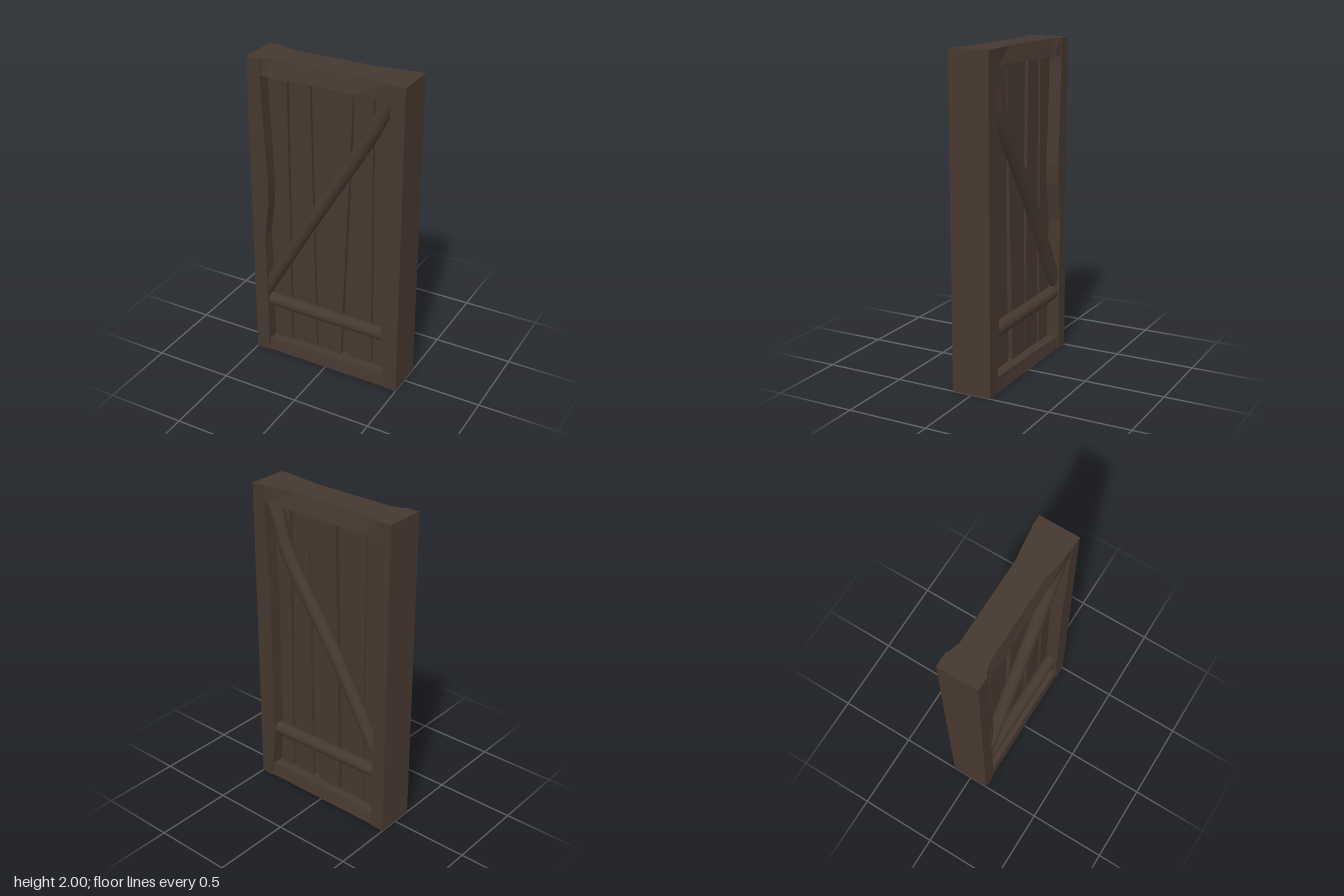
import * as THREE from 'three';

const wood = new THREE.MeshStandardMaterial({ color: 0x46382f });
wood.name = 'darkWood';

function add(parent, geometry, name) {
  const mesh = new THREE.Mesh(geometry, wood);
  mesh.name = name;
  parent.add(mesh);
  return mesh;
}

// Outline in x/y pushed out along z, from z0 to z1
function slab(points, z0, z1) {
  const shape = new THREE.Shape(points.map(([x, y]) => new THREE.Vector2(x, y)));
  const geometry = new THREE.ExtrudeGeometry(shape, { depth: z1 - z0, bevelEnabled: false });
  return geometry.translate(0, 0, z0);
}

// Horizontal beam given by stations [x, yBottom, yTop, half depth at bottom, half depth at top]
function beam(stations) {
  const box = new THREE.BoxGeometry(1, 1, 1, stations.length - 1, 1, 1);
  const p = box.attributes.position;
  for (let i = 0; i < p.count; i++) {
    const s = stations[Math.round((p.getX(i) + 0.5) * (stations.length - 1))];
    const top = p.getY(i) > 0;
    p.setXYZ(i, s[0], top ? s[2] : s[1], Math.sign(p.getZ(i)) * (top ? s[4] : s[3]));
  }
  const geometry = box.toNonIndexed();
  geometry.computeVertexNormals();
  return geometry;
}

export function createModel() {
  const model = new THREE.Group();
  model.name = 'timberWallPanel';

  // Posts with hand-hewn inner edges
  add(model, slab([[-0.5, 0], [-0.41, 0], [-0.41, 0.6], [-0.418, 0.85], [-0.385, 1.1],
    [-0.383, 1.22], [-0.413, 1.85], [-0.405, 2], [-0.5, 2]], -0.125, 0.125), 'rightPost');
  add(model, slab([[0.5, 0], [0.5, 2], [0.425, 2], [0.412, 1.85], [0.41, 1.72], [0.388, 1.32],
    [0.388, 0.3], [0.415, 0.06], [0.415, 0]], -0.125, 0.125), 'leftPost');

  // Top and bottom beams, worn along their inner or upper edges
  add(model, beam([
    [-0.45, 1.895, 2, 0.12, 0.12], [-0.41, 1.895, 2, 0.12, 0.117], [-0.33, 1.896, 2, 0.12, 0.093],
    [0.2, 1.903, 2, 0.12, 0.093], [0.38, 1.905, 2, 0.12, 0.117], [0.45, 1.905, 2, 0.12, 0.12],
  ]), 'topBeam');
  add(model, beam([
    [-0.45, 0, 0.075, 0.118, 0.112], [-0.33, 0, 0.076, 0.118, 0.105],
    [0.2, 0, 0.084, 0.118, 0.105], [0.45, 0, 0.09, 0.118, 0.112],
  ]), 'bottomBeam');

  // Thin core behind the plank gaps
  add(model, new THREE.BoxGeometry(0.86, 1.88, 0.036).translate(0, 1, 0), 'core');

  // Planks: [left x at bottom, right x at bottom, left x at top, right x at top, depth]
  const planks = [
    [-0.45, -0.285, -0.45, -0.286, 0.044],
    [-0.273, -0.103, -0.272, -0.137, 0.04],
    [-0.09, 0.07, -0.055, 0.149, 0.046],
    [0.132, 0.285, 0.15, 0.268, 0.042],
    [0.302, 0.45, 0.288, 0.45, 0.045],
  ];
  for (const [a, b, c, d, depth] of planks) {
    add(model, slab([[a, 0.04], [b, 0.04], [d, 1.95], [c, 1.95]], -depth, depth), 'plank');
  }

  // Round braces on both faces
  for (const side of [1, -1]) {
    const brace = new THREE.Group();
    brace.name = side > 0 ? 'frontBraces' : 'backBraces';
    model.add(brace);

    const bend = side > 0 ? 0.27 : 0.3;
    const z = side * 0.075;
    const path = new THREE.CatmullRomCurve3([
      [-0.45, 0.43], [-0.1, 1.03], [bend, 1.65], [0.34, 1.79], [0.42, 1.95],
    ].map(([x, y]) => new THREE.Vector3(x, y, z)), false, 'centripetal');
    add(brace, new THREE.TubeGeometry(path, 24, 0.043, 14), 'diagonalBrace');

    const rail = add(brace, new THREE.CylinderGeometry(0.042, 0.042, 0.86, 14), 'rail');
    rail.position.set(0, 0.366, z);
    rail.rotation.z = Math.PI / 2 - 0.015;
  }

  // Splinter on the front of one post
  add(model, slab([[-0.422, 0.85], [-0.41, 0.86], [-0.38, 1.09], [-0.39, 1.105], [-0.402, 1.08]],
    0.12, 0.129), 'splinter');

  return model;
}
